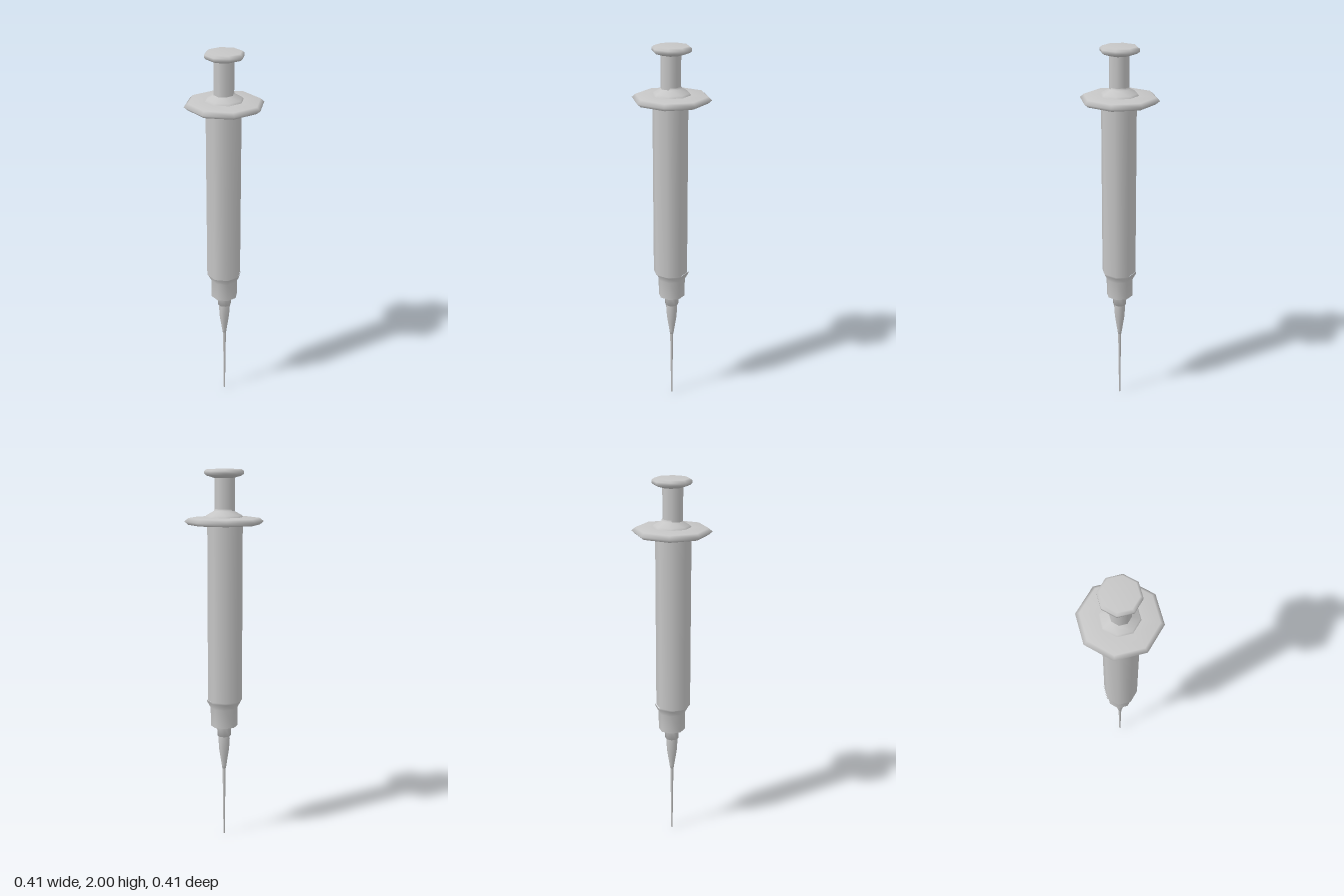
import * as THREE from 'three';

const SIDES = 8;

export function createModel() {
  const model = new THREE.Group();
  model.name = 'syringe';
  const grey = new THREE.MeshStandardMaterial({ color: 0xc6c6c6 });
  grey.name = 'pale grey';

  // Turned part: profile of [radius, height] pairs, listed from bottom to top
  function turned(name, profile, x = 0, z = 0) {
    const points = profile.map(([r, y]) => new THREE.Vector2(r, y));
    const mesh = new THREE.Mesh(new THREE.LatheGeometry(points, SIDES), grey);
    mesh.name = name;
    mesh.position.set(x, 0, z);
    model.add(mesh);
  }

  // Needle and its tapered hub
  turned('needle', [[0, 0], [0.004, 0.003], [0.006, 0.2], [0.009, 0.39]]);
  turned('needleHub', [[0, 0.385], [0.01, 0.39], [0.013, 0.41], [0.027, 0.5], [0.031, 0.56], [0.03, 0.585]]);
  turned('hubCollar', [[0, 0.58], [0.037, 0.58], [0.038, 0.645]]);

  // Nozzle under the barrel: flat underside, straight wall, flared shoulder
  turned('nozzleBase', [[0, 0.638], [0.072, 0.638]]);
  turned('nozzle', [[0.072, 0.638], [0.073, 0.74], [0.092, 0.775], [0.092, 0.784]]);

  // Barrel
  turned('barrelBase', [[0, 0.78], [0.092, 0.78]], -0.005, 0.005);
  turned('barrel', [[0.092, 0.78], [0.092, 1.73]], -0.005, 0.005);

  // Finger flange with a bevelled rim
  turned('fingerFlange', [
    [0.07, 1.72], [0.185, 1.72], [0.205, 1.737], [0.185, 1.754], [0.1, 1.758], [0.04, 1.758],
  ]);

  // Plunger: flared collar, rod and thumb rest
  turned('plungerCollar', [[0.1, 1.755], [0.092, 1.768], [0.053, 1.79], [0.05, 1.8]]);
  turned('plungerRod', [[0.052, 1.75], [0.052, 1.965]], -0.003, 0.003);
  turned('thumbRest', [
    [0.05, 1.955], [0.09, 1.967], [0.101, 1.976], [0.101, 1.99], [0.088, 2], [0, 2],
  ]);

  return model;
}
